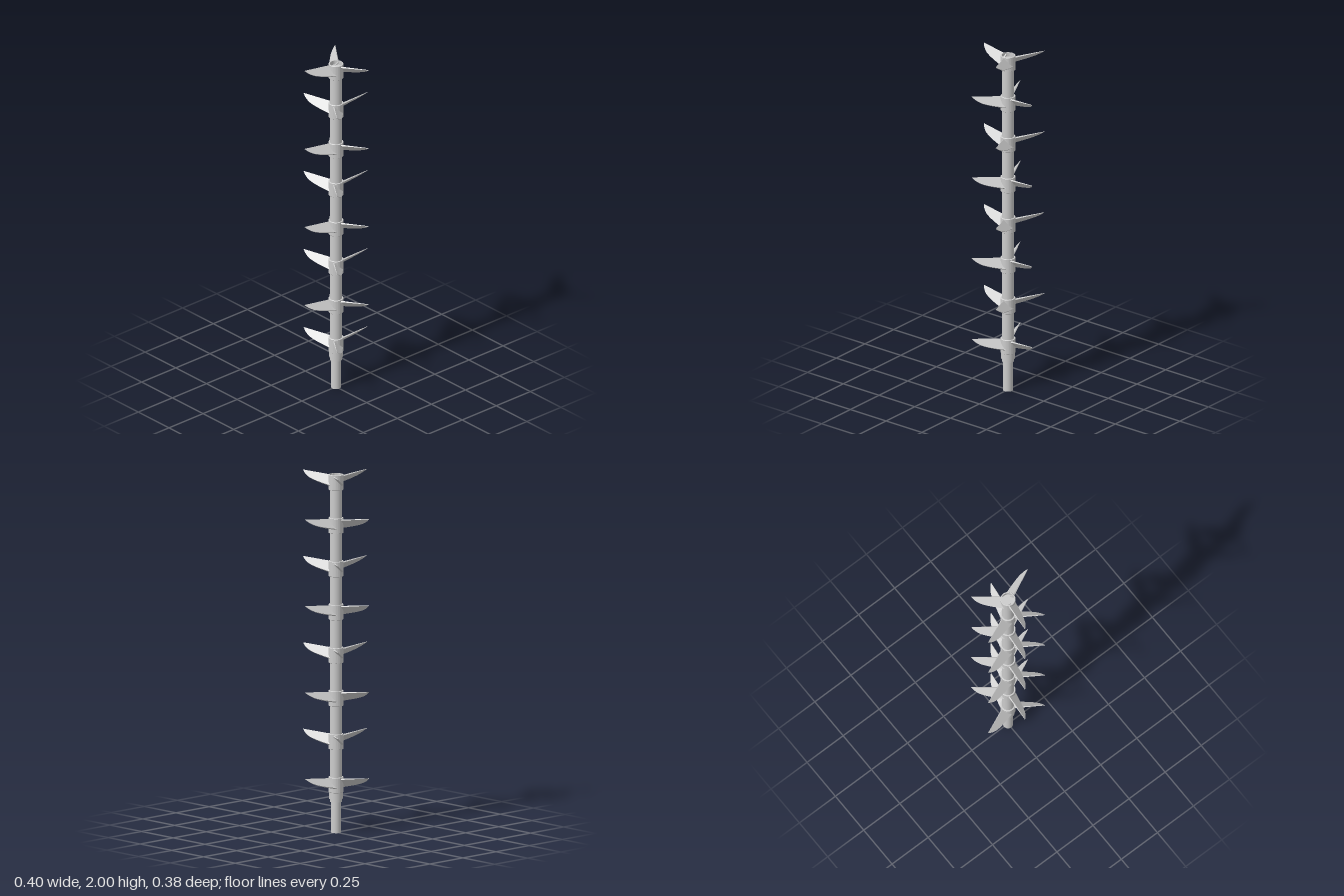
import * as THREE from 'three';
import { toCreasedNormals } from 'three/addons/utils/BufferGeometryUtils.js';

const STAGES = 8;
const SPACING = 0.24;
const material = new THREE.MeshStandardMaterial({ color: 0xcccccc });

function part(name, geometry) {
  const mesh = new THREE.Mesh(geometry, material);
  mesh.name = name;
  return mesh;
}

function cylinder(name, radius, bottom, top) {
  const geometry = new THREE.CylinderGeometry(radius, radius, top - bottom, 48);
  geometry.translate(0, (bottom + top) / 2, 0);
  return part(name, geometry);
}

// Straight upper edge, curved lower edge, thinning towards the tip, pitched 45 degrees
function bladeGeometry() {
  const shape = new THREE.Shape();
  shape.moveTo(0.024, 0.027);
  shape.lineTo(0.024, -0.043);
  shape.splineThru([
    new THREE.Vector2(0.1, -0.018),
    new THREE.Vector2(0.15, 0.004),
    new THREE.Vector2(0.18, 0.028),
    new THREE.Vector2(0.198, 0.053),
  ]);
  shape.closePath();
  const geometry = new THREE.ExtrudeGeometry(shape, { depth: 1, bevelEnabled: false, curveSegments: 14 });
  const p = geometry.attributes.position;
  for (let i = 0; i < p.count; i++) {
    const thickness = THREE.MathUtils.mapLinear(p.getX(i), 0.024, 0.198, 0.009, 0.002);
    p.setZ(i, (p.getZ(i) - 0.5) * thickness);
  }
  geometry.rotateX(Math.PI / 4);
  geometry.translate(0, -0.04, 0);
  return toCreasedNormals(geometry, 0.5);
}

// Sleeve with a bore, measured down from the blade tips
function hubGeometry() {
  const inner = 0.034, outer = 0.041, low = -0.096, high = -0.011;
  const profile = [
    [inner, low], [outer - 0.002, low], [outer, low + 0.002],
    [outer, high - 0.002], [outer - 0.002, high], [inner, high], [inner, low],
  ].map(([r, y]) => new THREE.Vector2(r, y));
  return toCreasedNormals(new THREE.LatheGeometry(profile, 48), 0.6);
}

export function createModel() {
  const model = new THREE.Group();
  model.name = 'bladedShaft';

  // Shaft, drive pin and collars
  model.add(
    cylinder('drivePin', 0.028, 0, 0.175),
    cylinder('lowerCollar', 0.034, 0.172, 0.187),
    cylinder('upperCollar', 0.037, 0.187, 0.226),
    cylinder('shaft', 0.034, 0.2, 1.965),
  );

  // Bladed stages, each turned half a blade pitch from the next
  const blade = bladeGeometry();
  const hub = hubGeometry();
  for (let i = 0; i < STAGES; i++) {
    const stage = new THREE.Group();
    stage.name = 'bladeStage';
    stage.position.y = 2 - i * SPACING;
    stage.rotation.y = i % 2 ? 0 : Math.PI;
    stage.add(part('hub', hub));
    for (let k = 0; k < 3; k++) {
      const mesh = part('blade', blade);
      mesh.rotation.y = (k * Math.PI * 2) / 3;
      stage.add(mesh);
    }
    model.add(stage);
  }
  return model;
}
